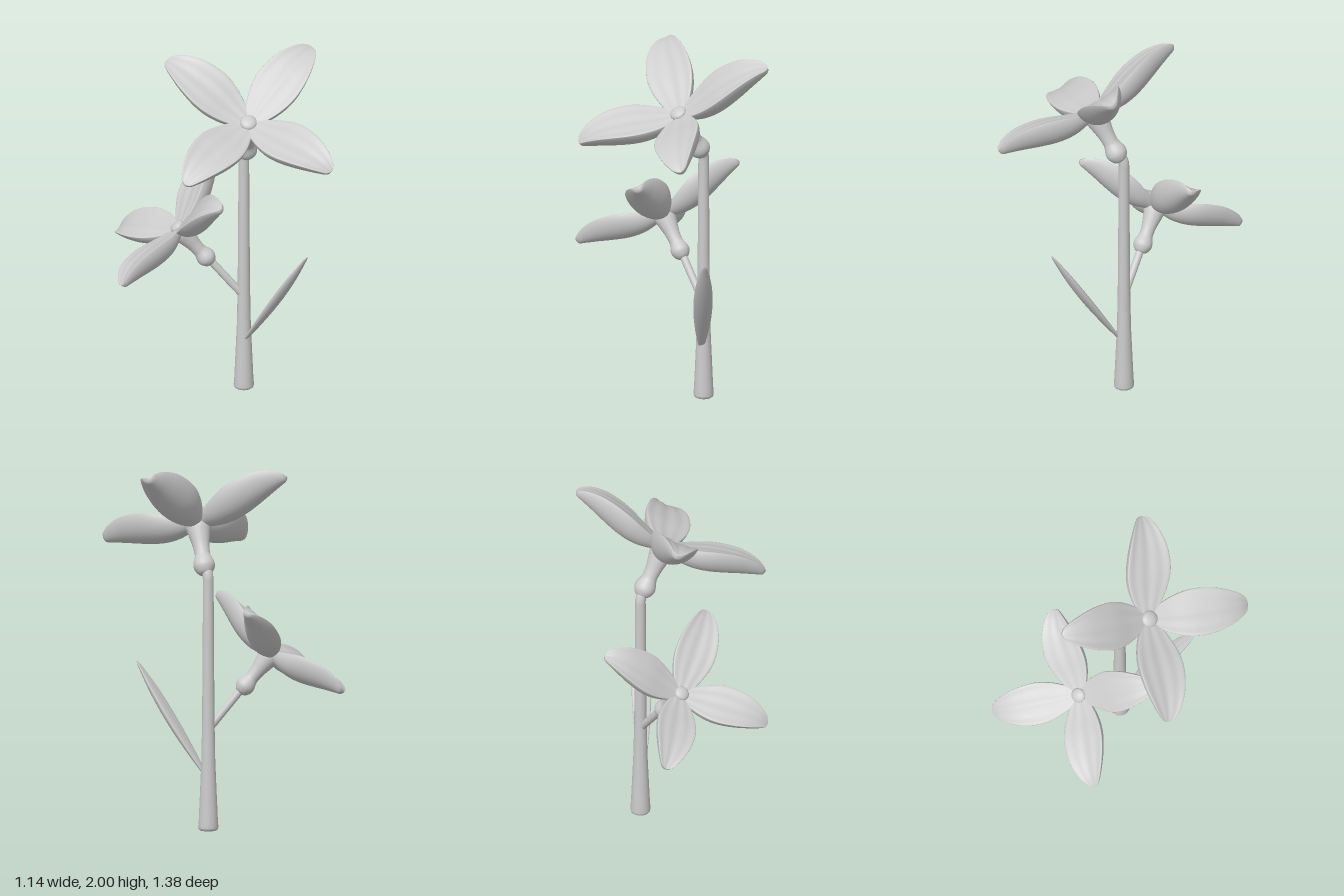
import * as THREE from 'three';

const material = new THREE.MeshStandardMaterial({ color: 0xcccccc });
const V = (x, y, z) => new THREE.Vector3(x, y, z);

function addMesh(parent, name, geometry) {
  const mesh = new THREE.Mesh(geometry, material);
  mesh.name = name;
  parent.add(mesh);
  return mesh;
}

// Smooth curve through [x, y] points, returned as a function y(x)
function smooth(points) {
  const samples = new THREE.SplineCurve(points.map(p => new THREE.Vector2(...p))).getPoints(120);
  return x => {
    const i = Math.max(1, samples.findIndex(p => p.x >= x - 1e-6));
    const a = samples[i - 1], b = samples[i];
    return THREE.MathUtils.lerp(a.y, b.y, (x - a.x) / Math.max(b.x - a.x, 1e-6));
  };
}

function lathe(points, segments = 32) {
  const curve = new THREE.SplineCurve(points.map(p => new THREE.Vector2(...p)));
  const profile = curve.getPoints(48).map(p => p.set(Math.max(p.x, 0), p.y));
  return new THREE.LatheGeometry(profile, segments);
}

// Closed blade along +z: width in x, cupped upward in y, fuller below than above
function blade({ start, end, width, rise, cup, top, bottom, ripple }) {
  const rings = 36, sides = 40, positions = [], index = [];
  const halfWidth = smooth(width), height = smooth(rise);
  const widest = Math.max(...width.map(p => p[1]));
  for (let i = 0; i <= rings; i++) {
    const t = 1 - (1 - i / rings) ** 1.4;
    const w = Math.max(halfWidth(t), 0), k = w / widest;
    for (let j = 0; j < sides; j++) {
      const a = (j / sides) * Math.PI * 2, s = Math.cos(a), n = Math.sin(a);
      const groove = n > 0 ? -ripple * Math.cos(s * Math.PI * 3) * n : 0;
      const y = height(t) + k * (cup * (0.5 + t) * s * s + n * (n > 0 ? top : bottom) + groove);
      positions.push(w * s, y, THREE.MathUtils.lerp(start, end, t));
      if (i < rings) {
        const p = i * sides + j, q = i * sides + (j + 1) % sides;
        index.push(p, q, p + sides, q, q + sides, p + sides);
      }
    }
  }
  const geometry = new THREE.BufferGeometry();
  geometry.setAttribute('position', new THREE.Float32BufferAttribute(positions, 3));
  geometry.setIndex(index);
  geometry.computeVertexNormals();
  return geometry;
}

// Turn an object so its local y follows up and its local x stays near side
function orient(object, side, up) {
  const y = up.clone().normalize();
  const z = side.clone().cross(y).normalize();
  const x = y.clone().cross(z);
  object.quaternion.setFromRotationMatrix(new THREE.Matrix4().makeBasis(x, y, z));
}

// Flower: origin at the petal centre, y along its axis
function flower(name, center, axis, side, scale) {
  const group = new THREE.Group();
  group.name = name;
  addMesh(group, 'calyx', lathe([
    [0, -0.327], [0.034, -0.318], [0.056, -0.285], [0.057, -0.255], [0.046, -0.222],
    [0.042, -0.2], [0.046, -0.15], [0.058, -0.09], [0.066, -0.04], [0.052, 0], [0, 0.012]
  ]));
  const disc = addMesh(group, 'flowerCenter', new THREE.SphereGeometry(0.046, 24, 16));
  disc.scale.y = 0.5;
  disc.position.y = 0.01;

  const petal = blade({
    start: 0.015, end: 0.565,
    width: [[0, 0.048], [0.1, 0.074], [0.22, 0.104], [0.36, 0.126], [0.5, 0.129], [0.68, 0.112],
      [0.84, 0.08], [0.94, 0.05], [0.985, 0.028], [1, 0]],
    rise: [[0, -0.005], [0.2, 0.02], [0.45, 0.06], [0.7, 0.088], [0.88, 0.09], [1, 0.075]],
    cup: 0.025, top: 0.018, bottom: 0.11, ripple: 0.003
  });
  for (let k = 0; k < 4; k++) {
    addMesh(group, 'petal' + (k + 1), petal).rotation.y = k * Math.PI / 2;
  }
  group.position.copy(center);
  group.scale.setScalar(scale);
  orient(group, side, axis);
  return group;
}

function tube(points, radius) {
  return new THREE.TubeGeometry(new THREE.CatmullRomCurve3(points), 24, radius, 20);
}

export function createModel() {
  const model = new THREE.Group();
  model.name = 'floweringStem';

  // Main stem with flared foot and a bent top
  const stem = addMesh(model, 'stem', new THREE.LatheGeometry([
    [0, 0], [0.044, 0.002], [0.052, 0.008], [0.055, 0.02], [0.052, 0.06],
    [0.038, 0.38], [0.034, 0.6], [0.031, 1], [0.029, 1.37]
  ].map(p => new THREE.Vector2(...p)), 32));
  stem.position.set(0.178, 0, -0.009);
  addMesh(model, 'stemTop', tube(
    [V(0.178, 1.34, -0.009), V(0.178, 1.39, -0.007), V(0.173, 1.425, 0.006), V(0.164, 1.45, 0.03)], 0.029));

  // Side branch carrying the lower flower
  addMesh(model, 'branch', tube([V(0.17, 0.56, -0.01), V(0.09, 0.68, -0.074), V(0.015, 0.795, -0.135)], 0.021));

  model.add(flower('upperFlower', V(0.08, 1.675, 0.15), V(-0.31, 0.84, 0.44), V(1.01, 0.46, -0.16), 1));
  model.add(flower('lowerFlower', V(-0.107, 0.967, -0.226), V(-0.515, 0.763, -0.389), V(0.84, 0.45, -0.23), 0.88));

  // Single narrow leaf, its width square to its length
  const leaf = addMesh(model, 'leaf', blade({
    start: 0, end: 0.715,
    width: [[0, 0.018], [0.15, 0.034], [0.35, 0.048], [0.55, 0.052], [0.75, 0.043], [0.92, 0.022], [0.98, 0.012], [1, 0]],
    rise: [[0, 0], [0.5, -0.004], [1, 0]],
    cup: 0.006, top: 0.018, bottom: 0.026, ripple: 0.001
  }));
  const across = V(1, 0, -0.3);
  leaf.position.set(0.173, 0.31, 0.02);
  orient(leaf, across, V(0.115, 0.59, 0.38).cross(across));
  return model;
}
